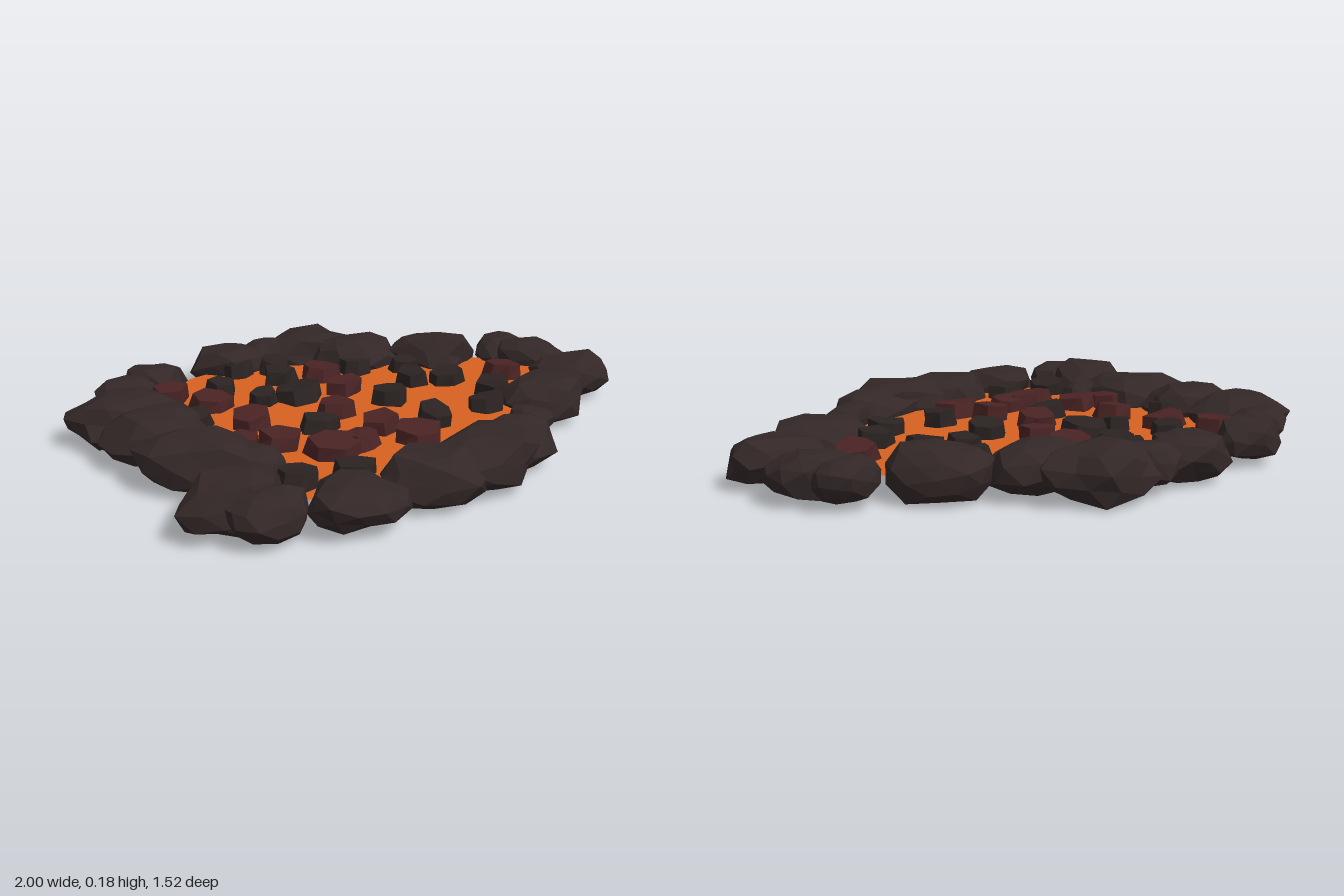
import * as THREE from 'three';

const paint = (name, color, extra = {}) => {
  const m = new THREE.MeshStandardMaterial({ color, flatShading: true, ...extra });
  m.name = name;
  return m;
};

// Push vertices in and out by a smooth rule that varies with the seed
function roughen(geo, seed, amount) {
  const p = geo.attributes.position, v = new THREE.Vector3();
  for (let i = 0; i < p.count; i++) {
    v.fromBufferAttribute(p, i);
    const n = Math.sin(4.1 * v.x + 2.3 * v.z + seed * 1.7) + Math.sin(3.7 * v.z - 2.9 * v.y + seed * 2.9)
      + Math.sin(4.5 * v.y + 3.1 * v.x + seed * 4.3);
    v.multiplyScalar(1 + (amount * n) / 3);
    p.setXYZ(i, v.x, v.y, v.z);
  }
}

// Scale a geometry to exact half sizes about its middle
function fit(geo, hx, hy, hz) {
  geo.center();
  geo.computeBoundingBox();
  const b = geo.boundingBox.max;
  geo.scale(hx / b.x, hy / b.y, hz / b.z);
  geo.computeVertexNormals();
  return geo;
}

function boulder(hx, hy, hz, angle, seed) {
  const geo = new THREE.IcosahedronGeometry(1, 1);
  geo.rotateX(seed * 1.3);
  geo.rotateZ(seed * 0.8);
  roughen(geo, seed, 0.22);
  // flatten the crown and the base
  const p = geo.attributes.position;
  for (let i = 0; i < p.count; i++) {
    const y = p.getY(i);
    p.setY(i, Math.sign(y) * Math.min(Math.abs(y), 0.7 + Math.abs(y) * 0.15));
  }
  if (angle) geo.scale(1.4, 1, 1);
  geo.rotateY(angle);
  return fit(geo, hx, hy, hz);
}

function pebble(r, seed) {
  const geo = new THREE.CylinderGeometry(0.88, 1, 1, 5 + (seed % 3));
  geo.rotateY(seed * 1.9);
  roughen(geo, seed, 0.16);
  fit(geo, r, 0.03, r * (0.9 + 0.1 * Math.sin(seed * 3)));
  geo.rotateX(0.13 * Math.sin(seed * 2.1));
  geo.rotateZ(0.13 * Math.cos(seed * 1.3));
  return geo;
}

export function createModel() {
  const model = new THREE.Group();
  const rockMat = paint('charred rock', 0x332727);
  const darkMat = paint('dark crust', 0x2b2322);
  const redMat = paint('warm crust', 0x4a2324);
  const lavaMat = paint('lava', 0xd6611f, { side: THREE.DoubleSide });
  const lavaY = 0.09;

  // Molten sheet, its outline hidden under the rim (x, z)
  const outline = [
    [-0.64, -0.4], [-0.5, -0.51], [-0.34, -0.57], [0, -0.6], [0.16, -0.48], [0.43, -0.41], [0.7, -0.32],
    [0.76, -0.2], [0.8, -0.05], [0.64, 0.08], [0.48, 0.27], [0.3, 0.43], [0.05, 0.52], [-0.11, 0.54],
    [-0.24, 0.58], [-0.52, 0.54], [-0.48, 0.3], [-0.6, 0.18], [-0.7, -0.02], [-0.74, -0.22],
  ];
  const shape = new THREE.Shape(outline.map(([x, z]) => new THREE.Vector2(x, -z)));
  const lava = new THREE.Mesh(new THREE.ShapeGeometry(shape).rotateX(-Math.PI / 2), lavaMat);
  lava.name = 'lavaPool';
  lava.position.y = lavaY;
  model.add(lava);

  // Rim boulders: x, z, half width, half height, half depth, turn
  const rim = new THREE.Group();
  rim.name = 'rockRim';
  [
    [-0.8, -0.21, 0.2, 0.085, 0.125, 0],
    [-0.76, -0.37, 0.115, 0.07, 0.095, 0.4],
    [-0.64, -0.48, 0.12, 0.07, 0.095, 0],
    [-0.73, -0.02, 0.18, 0.085, 0.13, 0],
    [-0.63, 0.2, 0.2, 0.09, 0.16, -0.5],
    [-0.46, 0.3, 0.1, 0.06, 0.09, 0],
    [-0.59, 0.49, 0.18, 0.09, 0.14, 0.4],
    [-0.52, 0.63, 0.13, 0.075, 0.095, 0],
    [-0.24, 0.625, 0.155, 0.07, 0.135, 0],
    [0.05, 0.55, 0.18, 0.085, 0.135, 0],
    [0.21, 0.51, 0.21, 0.09, 0.145, 0.5],
    [0.34, 0.42, 0.18, 0.085, 0.135, 0.4],
    [0.5, 0.3, 0.09, 0.06, 0.08, 0.5],
    [0.65, 0.1, 0.17, 0.08, 0.13, 0.2],
    [0.845, -0.05, 0.155, 0.075, 0.115, 0],
    [0.79, -0.28, 0.135, 0.07, 0.11, -0.6],
    [0.71, -0.37, 0.11, 0.065, 0.09, 0.4],
    [0.43, -0.42, 0.165, 0.085, 0.135, -0.3],
    [0.14, -0.48, 0.175, 0.085, 0.125, 0],
    [-0.01, -0.63, 0.21, 0.085, 0.13, 0],
    [-0.18, -0.62, 0.09, 0.07, 0.1, 0],
    [-0.34, -0.58, 0.15, 0.075, 0.11, 0],
  ].forEach(([x, z, hx, hy, hz, turn], i) => {
    const rock = new THREE.Mesh(boulder(hx, hy, hz, turn, i + 1), rockMat);
    rock.name = 'rimBoulder';
    rock.position.set(x, 0.1, z);
    rim.add(rock);
  });
  model.add(rim);

  // Floating crust pieces: x, z, radius
  const scatter = (name, material, list, offset) => {
    const group = new THREE.Group();
    group.name = name;
    list.forEach(([x, z, r], i) => {
      const piece = new THREE.Mesh(pebble(r, i + offset), material);
      piece.name = name + 'Piece';
      piece.position.set(x, lavaY + 0.022, z);
      group.add(piece);
    });
    model.add(group);
  };
  scatter('darkCrust', darkMat, [
    [-0.43, -0.33, 0.06], [-0.31, -0.19, 0.052], [-0.18, -0.2, 0.083], [-0.195, -0.375, 0.07],
    [-0.19, -0.47, 0.06], [0.1, -0.37, 0.06], [0.26, -0.205, 0.062], [0.385, -0.16, 0.066],
    [0.115, -0.06, 0.067], [-0.185, 0.095, 0.07], [0.205, 0.16, 0.068], [0.42, 0.11, 0.066],
    [0.495, -0.01, 0.068], [0.28, -0.33, 0.055], [-0.37, 0.455, 0.065], [-0.185, 0.46, 0.066],
    [-0.57, -0.07, 0.055], [-0.33, -0.49, 0.055],
  ], 3);
  scatter('warmCrust', redMat, [
    [-0.61, -0.335, 0.062], [-0.49, -0.21, 0.08], [-0.04, -0.36, 0.08], [-0.01, -0.19, 0.067],
    [-0.4, -0.02, 0.07], [-0.095, -0.015, 0.075], [-0.345, 0.165, 0.07], [-0.205, 0.29, 0.092],
    [-0.095, 0.255, 0.06], [0.0, 0.165, 0.07], [0.095, 0.27, 0.082], [0.62, -0.15, 0.08],
    [-0.47, 0.15, 0.06],
  ], 30);
  return model;
}
